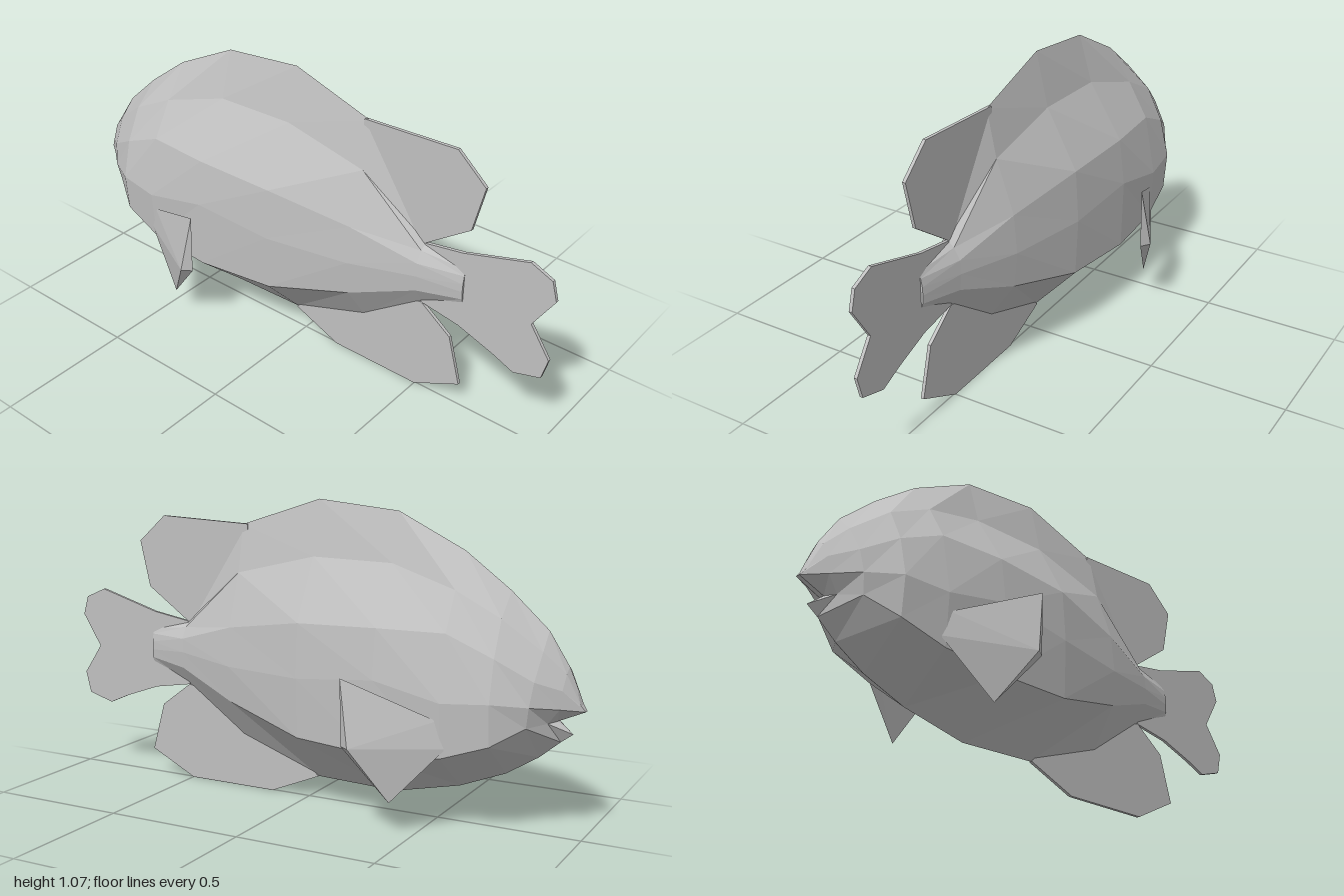
import * as THREE from 'three';
import { ConvexGeometry } from 'three/addons/geometries/ConvexGeometry.js';

const fishGrey = new THREE.MeshStandardMaterial({ color: 0xc0c0c0, flatShading: true });
fishGrey.name = 'fish grey';

// Each half section runs from the back ridge down the left side to the keel.
// Snout sections are bent so that the mouth forms a notch.
const snout = [
  [[0, 0.5, -0.97], [0.012, 0.48, -0.975], [0.016, 0.45, -0.985], [0.008, 0.43, -1], [0.01, 0.39, -0.91], [0, 0.35, -0.96]],
  [[0, 0.57, -0.94], [0.03, 0.55, -0.94], [0.055, 0.5, -0.935], [0.06, 0.44, -0.93], [0.05, 0.388, -0.89], [0, 0.32, -0.92]],
  [[0, 0.68, -0.87], [0.06, 0.62, -0.87], [0.11, 0.53, -0.86], [0.125, 0.45, -0.85], [0.115, 0.38, -0.84], [0, 0.26, -0.85]],
];

// Flat sections: z, back ridge y, four side points, keel y
const trunk = [
  [-0.74, 0.8, [0.09, 0.72], [0.15, 0.6], [0.185, 0.46], [0.175, 0.32], 0.19],
  [-0.58, 0.92, [0.085, 0.8], [0.16, 0.67], [0.203, 0.45], [0.192, 0.265], 0.125],
  [-0.34, 1.04, [0.05, 0.87], [0.175, 0.67], [0.197, 0.5], [0.193, 0.245], 0.07],
  [-0.04, 1.07, [0.045, 0.875], [0.16, 0.66], [0.173, 0.47], [0.165, 0.26], 0.08],
  [0.27, 0.97, [0.035, 0.8], [0.1, 0.61], [0.112, 0.47], [0.1, 0.34], 0.19],
  [0.51, 0.6, [0.025, 0.58], [0.047, 0.54], [0.05, 0.49], [0.045, 0.43], 0.36],
  [0.67, 0.56, [0.008, 0.54], [0.013, 0.51], [0.014, 0.48], [0.012, 0.45], 0.42],
].map(([z, top, a, b, c, d, keel]) => [[0, top], a, b, c, d, [0, keel]].map(([x, y]) => [x, y, z]));

function bodyGeometry(halves) {
  const rings = halves.map((h) => [...h, ...h.slice(1, -1).reverse().map(([x, y, z]) => [-x, y, z])]);
  const n = rings[0].length;
  const out = [];
  const tri = (...points) => points.forEach((p) => out.push(...p));

  // Skin between neighbouring sections
  for (let i = 0; i < rings.length - 1; i++) {
    for (let j = 0; j < n; j++) {
      const k = (j + 1) % n;
      const a = rings[i][j], b = rings[i][k], c = rings[i + 1][j], d = rings[i + 1][k];
      // Mirror the diagonal on the right-hand side
      if (j < n / 2) {
        tri(a, c, b);
        tri(b, c, d);
      } else {
        tri(a, d, b);
        tri(a, c, d);
      }
    }
  }

  // Mouth and tail caps join the left and right halves
  const first = rings[0], last = rings[rings.length - 1];
  for (let j = 0; j < n / 2; j++) {
    const l = (n - j) % n, m = n - j - 1;
    if (j > 0) {
      tri(first[j], first[m], first[l]);
      tri(last[j], last[l], last[m]);
    }
    if (j + 1 < n / 2) {
      tri(first[j], first[j + 1], first[m]);
      tri(last[j], last[m], last[j + 1]);
    }
  }
  const g = new THREE.BufferGeometry();
  g.setAttribute('position', new THREE.Float32BufferAttribute(out, 3));
  g.computeVertexNormals();
  return g;
}

// Thin upright fin from a side outline of (z, y) points
function finGeometry(outline) {
  const shape = new THREE.Shape(outline.map(([z, y]) => new THREE.Vector2(z, y)));
  const depth = 0.012;
  const g = new THREE.ExtrudeGeometry(shape, { depth, bevelEnabled: false });
  g.rotateY(-Math.PI / 2);
  g.translate(depth / 2, 0, 0);
  return g;
}

export function createModel() {
  const model = new THREE.Group();
  model.name = 'fish';
  const add = (name, geometry) => {
    const mesh = new THREE.Mesh(geometry, fishGrey);
    mesh.name = name;
    model.add(mesh);
  };

  add('body', bodyGeometry([...snout, ...trunk]));

  // Fins along the centre line
  add('dorsalFin', finGeometry([
    [0.2, 0.6], [0.51, 0.6], [0.68, 0.72], [0.72, 0.89], [0.61, 0.988], [0.25, 0.972],
  ]));
  add('analFin', finGeometry([
    [-0.04, 0.08], [0.15, 0], [0.5, 0], [0.68, 0.09], [0.63, 0.27], [0.51, 0.36], [0.2, 0.3],
  ]));
  add('tailFin', finGeometry([
    [0.45, 0.48], [0.51, 0.36], [0.66, 0.335], [0.8, 0.285], [0.88, 0.25], [0.98, 0.28], [1, 0.36],
    [0.925, 0.47], [1, 0.59], [0.98, 0.66], [0.9, 0.695], [0.66, 0.625], [0.51, 0.6],
  ]));

  // Swept pectoral fins, thickest at the trailing corner
  for (const [name, s] of [['leftPectoralFin', 1], ['rightPectoralFin', -1]]) {
    add(name, new ConvexGeometry([
      [0.302, 0.52, -0.275], [0.195, 0.39, -0.57], [0.19, 0.3, -0.6],
      [0.25, 0.11, -0.43], [0.328, 0.295, -0.315], [0.304, 0.295, -0.28],
    ].map(([x, y, z]) => new THREE.Vector3(s * x, y, z))));
  }
  return model;
}
